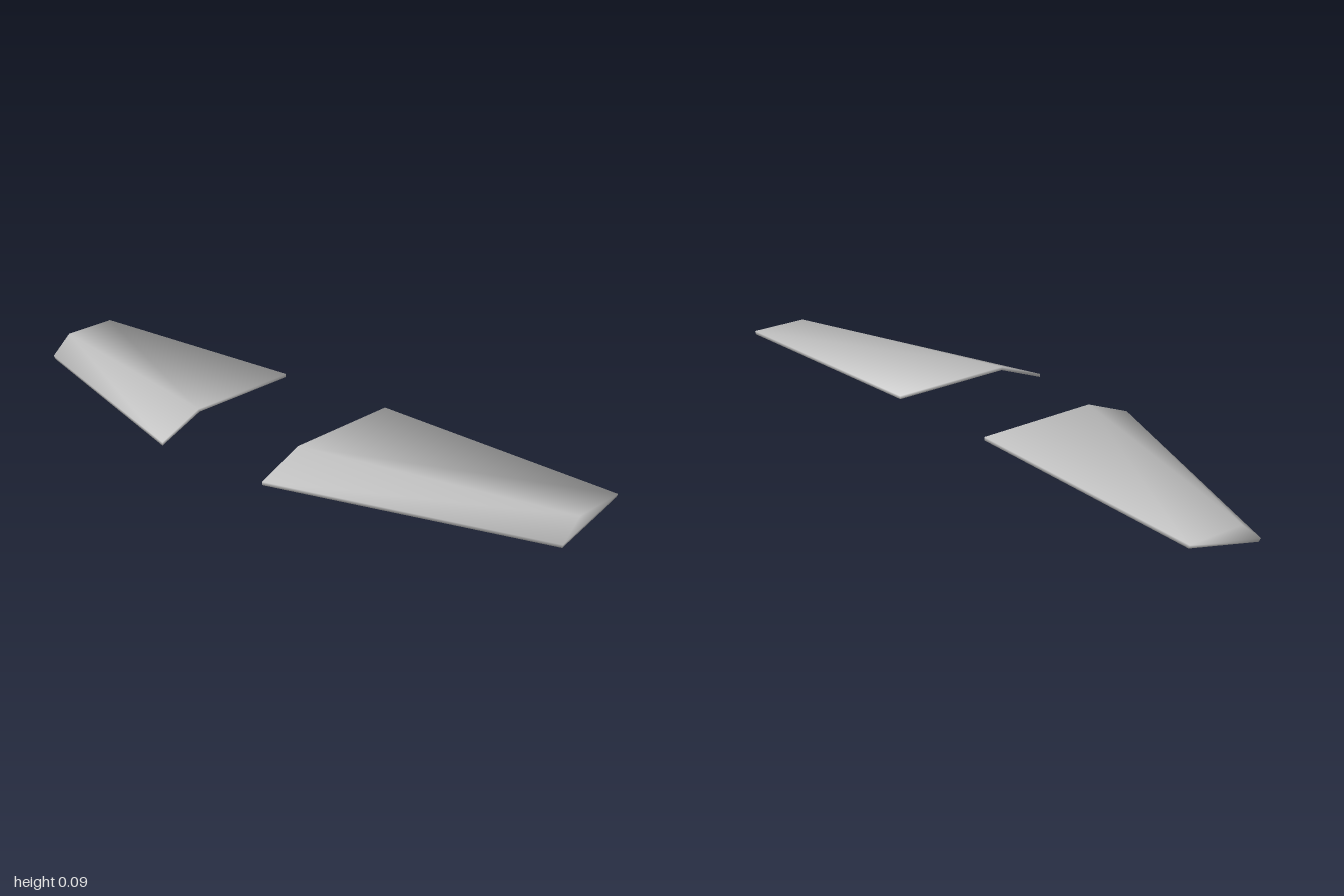
import * as THREE from 'three';

const panelGrey = new THREE.MeshStandardMaterial({ color: 0xcccccc });
panelGrey.name = 'panelGrey';

// Outer skin corners for the +z wing: leading edge, ridge, trailing edge.
const outer = [
  [-0.265, 0.031, 0.197], [-0.116, 0.09, 0.197], [0.264, 0.09, 0.197], // root
  [0.013, 0.011, 1], [0.083, 0.069, 1], [0.264, 0.069, 1], // tip
];
// Inner skin offsets, giving the sheet its thickness.
const inset = [
  [0, -0.01, 0], [0.003, -0.01, 0], [0, -0.01, 0],
  [0.003, -0.011, -0.004], [0.003, -0.01, -0.009], [0, -0.01, -0.004],
];
const skin = [
  [0, 3, 4], [0, 4, 1], // sloping front panel
  [1, 4, 5], [1, 5, 2], // top panel
  [3, 5, 4], // tip cap
];
const rim = [0, 3, 5, 2, 1]; // open border of the skin, in order

// Smooth normals, weighted by the angle of each face at the corner.
function angleWeightedNormals(points, faces) {
  const normals = points.map(() => new THREE.Vector3());
  for (const face of faces) {
    const [a, b, c] = face.map((i) => points[i]);
    const n = b.clone().sub(a).cross(c.clone().sub(a)).normalize();
    face.forEach((i, k) => {
      const u = points[face[(k + 1) % 3]].clone().sub(points[i]);
      const v = points[face[(k + 2) % 3]].clone().sub(points[i]);
      normals[i].addScaledVector(n, u.angleTo(v));
    });
  }
  return normals.map((n) => n.normalize());
}

// A bent sheet wing; side is +1 or -1 along z.
function makeWing(side, name) {
  const inner = outer.map((p, i) => p.map((v, k) => v + inset[i][k]));
  const points = [...outer, ...inner].map(([x, y, z]) => new THREE.Vector3(x, y, z * side));

  let faces = [...skin, ...skin.map(([a, b, c]) => [a + 6, c + 6, b + 6])];
  rim.forEach((a, i) => {
    const b = rim[(i + 1) % rim.length];
    faces.push([b, a, a + 6], [b, a + 6, b + 6]);
  });
  if (side < 0) faces = faces.map(([a, b, c]) => [a, c, b]);

  const normals = angleWeightedNormals(points, faces);
  const geometry = new THREE.BufferGeometry().setFromPoints(points);
  geometry.setAttribute('normal',
    new THREE.Float32BufferAttribute(normals.flatMap((n) => n.toArray()), 3));
  geometry.setIndex(faces.flat());

  const wing = new THREE.Mesh(geometry, panelGrey);
  wing.name = name;
  return wing;
}

export function createModel() {
  const model = new THREE.Group();
  model.name = 'wingPair';
  model.add(makeWing(1, 'frontWing'), makeWing(-1, 'backWing'));
  return model;
}
